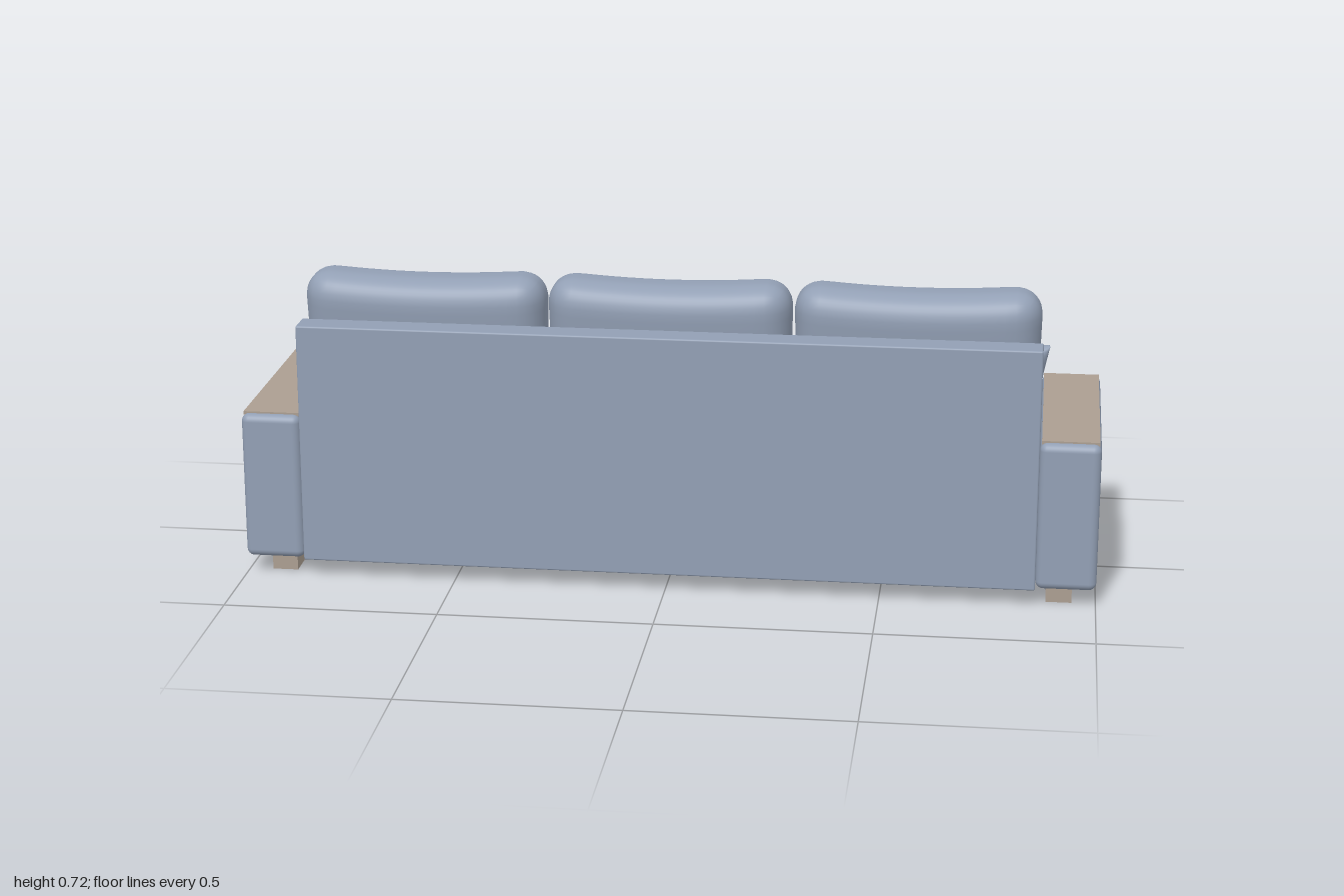
import * as THREE from 'three';
import { mergeVertices } from 'three/addons/utils/BufferGeometryUtils.js';
import { RoundedBoxGeometry } from 'three/addons/geometries/RoundedBoxGeometry.js';

const fabric = new THREE.MeshStandardMaterial({ color: 0x929fb4 });
fabric.name = 'blue grey fabric';
const wood = new THREE.MeshStandardMaterial({ color: 0xab9e91 });
wood.name = 'pale wood';

// Finely divided rounded box; deform(p, u) may shift each point, u runs -1..1 on each axis
function softBox(w, h, d, r, n, deform) {
  const geo = new THREE.BoxGeometry(2, 2, 2, n, n, n);
  const half = new THREE.Vector3(w / 2, h / 2, d / 2);
  const inner = half.clone().subScalar(r);
  const low = inner.clone().negate();
  const pos = geo.attributes.position;
  const p = new THREE.Vector3(), core = new THREE.Vector3(), u = new THREE.Vector3();
  const ease = (t) => Math.sin(t * Math.PI / 2);
  for (let i = 0; i < pos.count; i++) {
    p.fromBufferAttribute(pos, i);
    p.set(ease(p.x), ease(p.y), ease(p.z)).multiply(half);
    core.copy(p).clamp(low, inner);
    p.sub(core).setLength(r).add(core);
    u.copy(p).divide(half);
    deform(p, u);
    pos.setXYZ(i, p.x, p.y, p.z);
  }
  return smooth(geo);
}

// Weld the seams so that the whole surface shades smoothly
function smooth(geo) {
  geo.deleteAttribute('uv');
  geo.deleteAttribute('normal');
  const welded = mergeVertices(geo, 1e-5);
  welded.computeVertexNormals();
  return welded;
}

// Throw pillow: thin at the rim, full in the middle, with pointed corners
function pillowGeometry(w, h, d) {
  const geo = new THREE.BoxGeometry(2, 2, 2, 20, 20, 2);
  const pos = geo.attributes.position;
  for (let i = 0; i < pos.count; i++) {
    const u = Math.sin(pos.getX(i) * Math.PI / 2);
    const v = Math.sin(pos.getY(i) * Math.PI / 2);
    const a = 1 - u * u, b = 1 - v * v;
    const thick = 0.1 + 0.9 * Math.pow(Math.max(a * b, 0), 0.36);
    pos.setXYZ(i, u * w / 2 * (1 - 0.08 * b), v * h / 2 * (1 - 0.1 * a), pos.getZ(i) * d / 2 * thick);
  }
  return smooth(geo);
}

export function createModel() {
  const sofa = new THREE.Group();
  sofa.name = 'sofa';

  const add = (name, geo, mat, x, y, z) => {
    const mesh = new THREE.Mesh(geo, mat);
    mesh.name = name;
    mesh.position.set(x, y, z);
    sofa.add(mesh);
    return mesh;
  };

  // Frame: base, back panel and wooden front rail (the seat opens toward -z)
  add('base', new RoundedBoxGeometry(1.72, 0.135, 0.53, 3, 0.012), fabric, 0, 0.1075, -0.02);
  add('backPanel', new RoundedBoxGeometry(1.72, 0.575, 0.07, 2, 0.004), fabric, 0, 0.3275, 0.255);
  add('frontRail', new THREE.BoxGeometry(1.68, 0.095, 0.01), wood, 0, 0.108, -0.285);

  // Arms with wooden caps and block legs
  for (const s of [-1, 1]) {
    add('arm', new RoundedBoxGeometry(0.14, 0.352, 0.572, 4, 0.018), fabric, s * 0.93, 0.218, 0.003);
    add('armCap', new THREE.BoxGeometry(0.132, 0.008, 0.535), wood, s * 0.93, 0.394, 0.003);
    for (const z of [-0.202, 0.213]) {
      add('leg', new THREE.BoxGeometry(0.06, 0.05, 0.076), wood, s * 0.915, 0.025, z);
    }
  }

  // Seat cushions with a domed top and gently bowed front
  const seat = softBox(0.568, 0.125, 0.49, 0.026, 20, (p, u) => {
    const dome = (1 - u.x ** 2) * (1 - u.z ** 2);
    if (u.y > 0) p.y += 0.028 * u.y * Math.max(dome, 0) ** 0.6;
    if (u.z < 0) p.z += 0.008 * u.z * (1 - u.x ** 2);
  });

  // Back cushions lean back, are fuller in the middle and dip along the top
  const back = softBox(0.572, 0.43, 0.165, 0.07, 24, (p, u) => {
    if (u.y > 0) p.y -= 0.016 * u.y * (1 - u.x ** 2);
    p.z *= 1 + 0.05 * (1 - u.x ** 2) * (1 - u.y ** 2);
    p.x *= 1 - 0.015 * (1 - u.y ** 2);
    p.z += p.y * 0.1;
  });

  for (const i of [-1, 0, 1]) {
    add('seatCushion', seat, fabric, i * 0.572, 0.23, -0.033);
    add('backCushion', back, fabric, i * 0.574 - 0.003, 0.511, 0.126);
  }

  // Throw pillows angled in toward the middle
  const pillow = pillowGeometry(0.31, 0.25, 0.095);
  for (const s of [-1, 1]) {
    const mesh = add('throwPillow', pillow, fabric, s * 0.715, 0.415, -0.037);
    mesh.rotation.set(0.32, s * 0.235, 0, 'YXZ');
  }

  return sofa;
}
